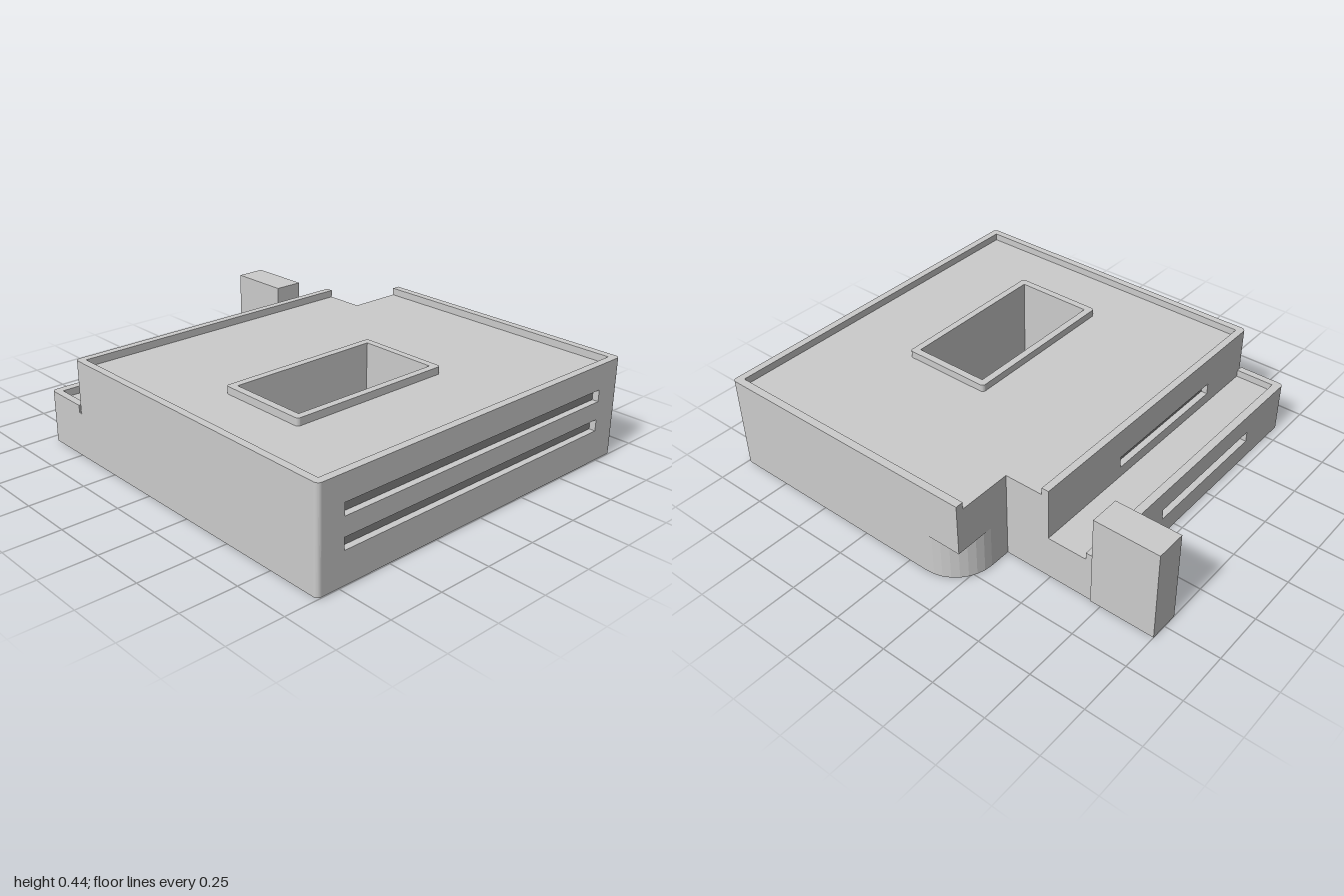
import * as THREE from 'three';

const wallMat = new THREE.MeshStandardMaterial({ color: 0xcccccc });
const glassMat = new THREE.MeshStandardMaterial({ color: 0x858585 });

const R = 0.02;          // small corner radius
const DEPTH = 0.03;      // window recess
const W = 0.853;         // half width
const FRONT_SLOT = [-0.727, 0.724];
const BACK_SLOT = [-0.557, 0.098];

// Trace plan points [x, z, radius?] into a path, rounding corners that have a radius
function trace(path, pts) {
  const v = pts.map(([x, z]) => new THREE.Vector2(x, -z));
  const n = pts.length;
  for (let i = 0; i < n; i++) {
    const p = v[i], r = pts[i][2] || 0;
    const toward = (q, d) => p.clone().add(q.clone().sub(p).setLength(d));
    const prev = v[(i + n - 1) % n], next = v[(i + 1) % n];
    const a = r ? toward(prev, r) : p;
    if (i === 0) path.moveTo(a.x, a.y); else path.lineTo(a.x, a.y);
    if (r) {
      const b = toward(next, r), c1 = toward(prev, r * 0.4477), c2 = toward(next, r * 0.4477);
      path.bezierCurveTo(c1.x, c1.y, c2.x, c2.y, b.x, b.y);
    }
  }
  path.closePath();
  return path;
}

const rect = (x0, x1, z0, z1, r = 0) => [[x0, z0, r], [x1, z0, r], [x1, z1, r], [x0, z1, r]];
// Courtyard opening, wound opposite to the outlines so its walls face inwards
const COURT = rect(-0.527, 0.186, 0.178, 0.538).reverse();

// Extrude a plan upwards from y0 to y1
function slab(name, pts, y0, y1, hole) {
  const shape = trace(new THREE.Shape(), pts);
  if (hole) shape.holes.push(trace(new THREE.Path(), hole));
  const geo = new THREE.ExtrudeGeometry(shape, { depth: y1 - y0, bevelEnabled: false, curveSegments: 8 });
  geo.rotateX(-Math.PI / 2).translate(0, y0, 0);
  const mesh = new THREE.Mesh(geo, wallMat);
  mesh.name = name;
  return mesh;
}

// Storey plan, with optional window recesses in the front and back walls
function plan(backZ, cornerRadius, front, back) {
  const pts = [[0.57, -0.28], [W, -0.28, cornerRadius], [W, 1, R]];
  if (front) {
    const [a, b] = FRONT_SLOT;
    pts.push([b, 1], [b, 1 - DEPTH], [a, 1 - DEPTH], [a, 1]);
  }
  pts.push([-W, 1, R], [-W, backZ, R]);
  if (back) {
    const [a, b] = BACK_SLOT;
    pts.push([a, backZ], [a, backZ + DEPTH], [b, backZ + DEPTH], [b, backZ]);
  }
  pts.push([0.57, backZ]);
  return pts;
}

function windowPanel(name, [x0, x1], y0, y1, z, facing) {
  const mesh = new THREE.Mesh(new THREE.PlaneGeometry(x1 - x0, y1 - y0), glassMat);
  mesh.position.set((x0 + x1) / 2, (y0 + y1) / 2, z + facing * 0.001);
  if (facing < 0) mesh.rotation.y = Math.PI;
  mesh.name = name;
  return mesh;
}

export function createModel() {
  const model = new THREE.Group();
  model.name = 'courtyardBuilding';

  // Storeys as stacked bands: [y0, y1, front windows, back windows]
  const storeys = [
    { name: 'lowerStorey', backZ: -0.71, corner: 0.185, bands: [
      [0.003, 0.095, 0, 0], [0.095, 0.145, 0, 1], [0.145, 0.197, 1, 0], [0.197, 0.205, 0, 0]] },
    { name: 'upperStorey', backZ: -0.49, corner: 0, bands: [
      [0.205, 0.255, 0, 0], [0.255, 0.279, 0, 1], [0.279, 0.308, 1, 1], [0.308, 0.332, 1, 0], [0.332, 0.412, 0, 0]] },
  ];
  for (const s of storeys) {
    const group = new THREE.Group();
    group.name = s.name;
    for (const [y0, y1, front, back] of s.bands)
      group.add(slab('wallBand', plan(s.backZ, s.corner, front, back), y0, y1, COURT));
    model.add(group);
  }

  // Window strips
  model.add(
    windowPanel('lowerFrontWindow', FRONT_SLOT, 0.145, 0.197, 1 - DEPTH, 1),
    windowPanel('upperFrontWindow', FRONT_SLOT, 0.279, 0.332, 1 - DEPTH, 1),
    windowPanel('lowerBackWindow', BACK_SLOT, 0.095, 0.145, -0.71 + DEPTH, -1),
    windowPanel('upperBackWindow', BACK_SLOT, 0.255, 0.308, -0.49 + DEPTH, -1),
  );

  // Roof, terrace and courtyard parapets
  model.add(slab('roofParapet', [
    [W, -0.28], [W, 1, R], [-W, 1, R], [-W, -0.49, R], [0.57, -0.49],
    [0.57, -0.457], [-0.82, -0.457], [-0.82, 0.966], [0.817, 0.966], [0.817, -0.28],
  ], 0.412, 0.445));
  model.add(slab('terraceParapet', [
    [0.57, -0.71], [-W, -0.71, R], [-W, -0.49], [-0.82, -0.49],
    [-0.82, -0.672], [0.57, -0.672],
  ], 0.205, 0.238));
  model.add(slab('courtyardParapet', rect(-0.56, 0.219, 0.145, 0.57, 0.015), 0.412, 0.445, COURT));

  // Stair tower at the back
  model.add(slab('tower', rect(0.434, 0.573, -1, -0.702), 0, 0.425));

  return model;
}
